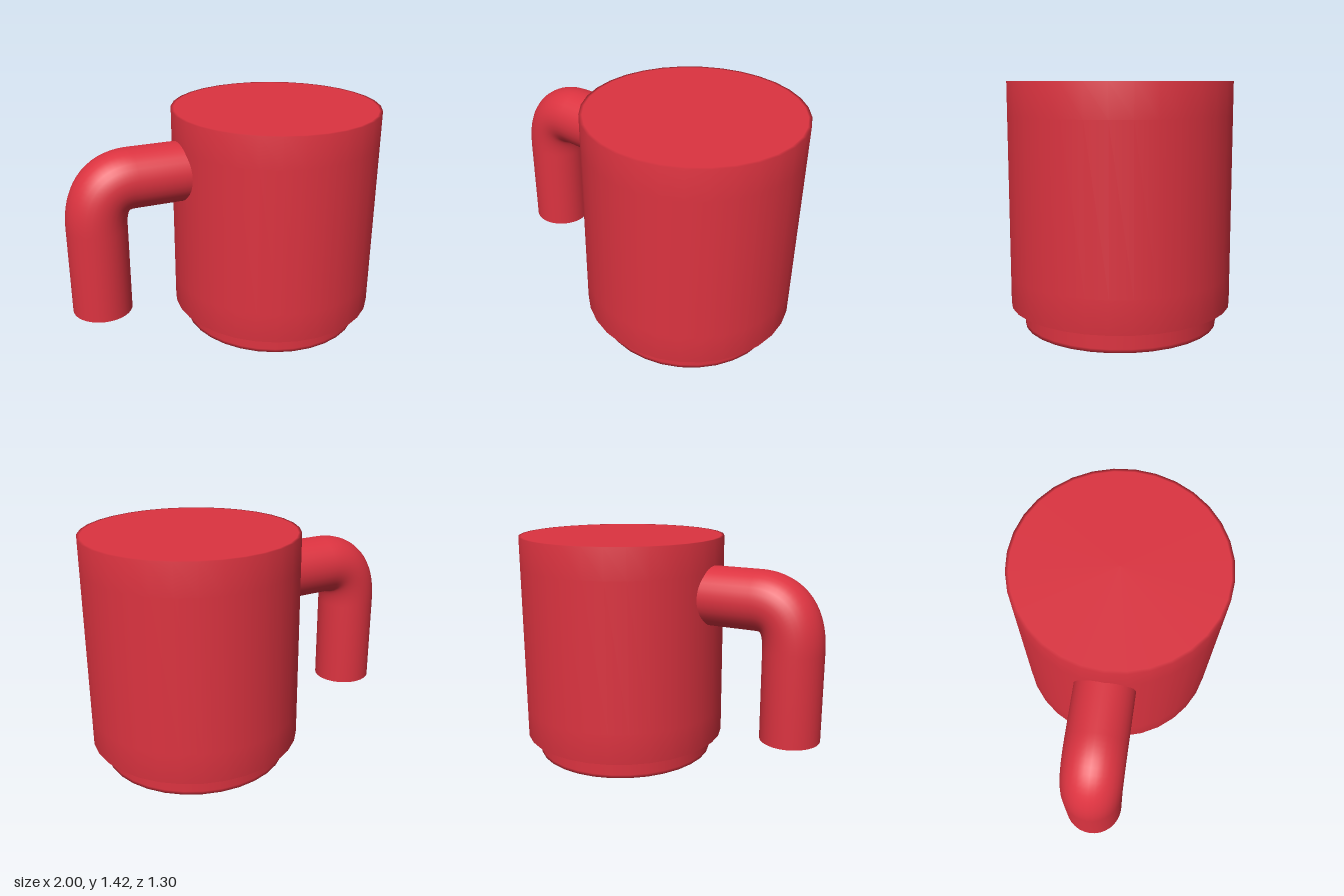
import * as THREE from 'three';

const SIDES = 32;
const CENTRE_X = 0.35;
const red = new THREE.MeshStandardMaterial({ color: 0xdc3340 });

// Closed solid of revolution whose shading softens only near the rims
function drum(name, radius, bottom, top, soft) {
  const inner = radius * 0.97;
  const profile = [
    [0, bottom], [inner, bottom], [radius, bottom], [radius, bottom + soft],
    [radius, top - soft], [radius, top], [inner, top], [0, top],
  ].map(([r, y]) => new THREE.Vector2(r, y));
  const mesh = new THREE.Mesh(new THREE.LatheGeometry(profile, SIDES), red);
  mesh.name = name;
  mesh.position.x = CENTRE_X;
  return mesh;
}

// Hook-shaped handle: out of the body, round a bend, straight down
function handle() {
  const radius = 0.183, armY = 1.088, legX = -0.817, endY = 0.255;
  const p = (x, y) => new THREE.Vector3(x, y, 0);
  const path = new THREE.CurvePath();
  path.add(new THREE.LineCurve3(p(-0.15, armY), p(-0.59, armY)));
  path.add(new THREE.QuadraticBezierCurve3(p(-0.59, armY), p(legX, armY), p(legX, 0.81)));
  path.add(new THREE.LineCurve3(p(legX, 0.81), p(legX, endY)));

  const group = new THREE.Group();
  group.name = 'handle';
  const tube = new THREE.Mesh(new THREE.TubeGeometry(path, 64, radius, SIDES), red);
  tube.name = 'handleTube';
  const cap = new THREE.Mesh(new THREE.CircleGeometry(radius, SIDES), red);
  cap.name = 'handleEnd';
  cap.rotation.x = Math.PI / 2;
  cap.position.set(legX, endY, 0);
  group.add(tube, cap);
  return group;
}

export function createModel() {
  const model = new THREE.Group();
  model.name = 'mug';
  model.add(
    drum('body', 0.65, 0.125, 1.425, 0.19),
    drum('footRing', 0.57, 0, 0.14, 0.02),
    handle(),
  );
  return model;
}
